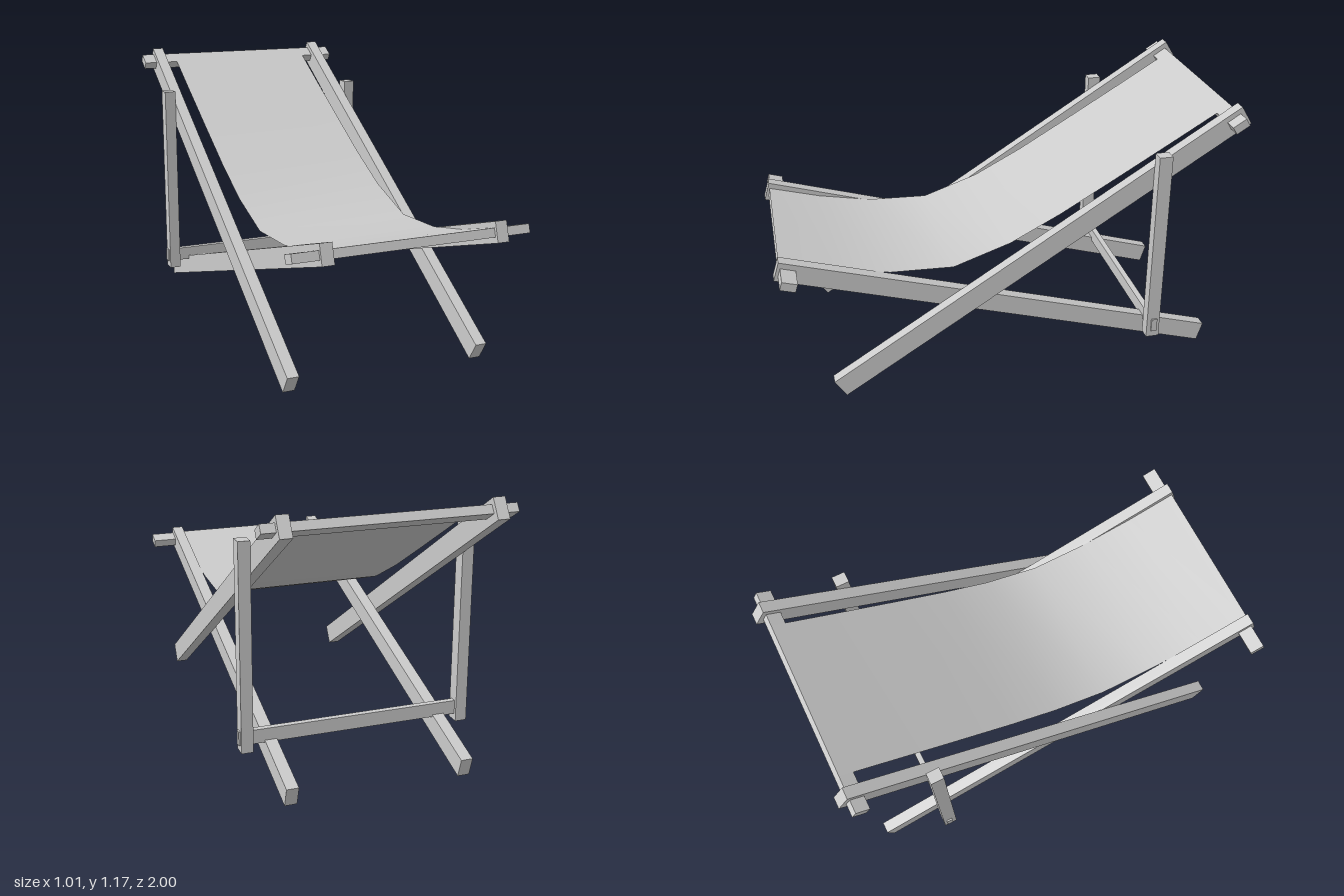
import * as THREE from 'three';

const material = new THREE.MeshStandardMaterial({ color: 0xcccccc });
const clothMaterial = new THREE.MeshStandardMaterial({ color: 0xcccccc, side: THREE.DoubleSide });

// Tilts of the two frames about the x axis
const BACK_TILT = Math.atan2(1.093, 1.747);
const SEAT_TILT = Math.atan2(-0.58, 1.88);

function box(name, size, position, tilt = 0) {
  const mesh = new THREE.Mesh(new THREE.BoxGeometry(...size), material);
  mesh.name = name;
  mesh.position.set(...position);
  mesh.rotation.x = tilt;
  return mesh;
}

// Thin cloth across x, with one row of vertices per [z, y] profile point
function makeCloth(width, profile) {
  const geometry = new THREE.PlaneGeometry(width, 1, 1, profile.length - 1);
  const pos = geometry.attributes.position;
  for (let i = 0; i < pos.count; i++) {
    const [z, y] = profile[Math.floor(i / 2)];
    pos.setXYZ(i, pos.getX(i), y, z);
  }
  geometry.computeVertexNormals();
  const mesh = new THREE.Mesh(geometry, clothMaterial);
  mesh.name = 'fabricSling';
  return mesh;
}

export function createModel() {
  const model = new THREE.Group();
  model.name = 'deckChair';

  // Paired rails and support posts
  for (const [side, s] of [['left', 1], ['right', -1]]) {
    model.add(
      box(`${side}BackRail`, [0.05, 0.09, 2.061], [s * 0.423, 0.59, -0.1035], BACK_TILT),
      box(`${side}SeatRail`, [0.051, 0.085, 1.967], [s * 0.371, 0.334, 0.048], SEAT_TILT),
      box(`${side}SupportPost`, [0.05, 0.875, 0.058], [s * 0.473, 0.5675, -0.615]),
    );
  }

  // Crossbars
  model.add(
    box('topCrossbar', [1.01, 0.037, 0.065], [0, 1.113, -0.93], BACK_TILT),
    box('frontCrossbar', [1.01, 0.037, 0.065], [0, 0.61, 0.945], SEAT_TILT),
    box('lowerCrossbar', [1.01, 0.06, 0.026], [0, 0.19, -0.618]),
  );

  // Sling hung from the top crossbar to the front crossbar
  model.add(makeCloth(0.69, [
    [-0.947, 1.146], [-0.7, 0.998], [-0.46, 0.856], [-0.22, 0.716], [0, 0.602],
    [0.25, 0.517], [0.52, 0.528], [0.75, 0.574], [0.975, 0.639],
  ]));

  return model;
}
